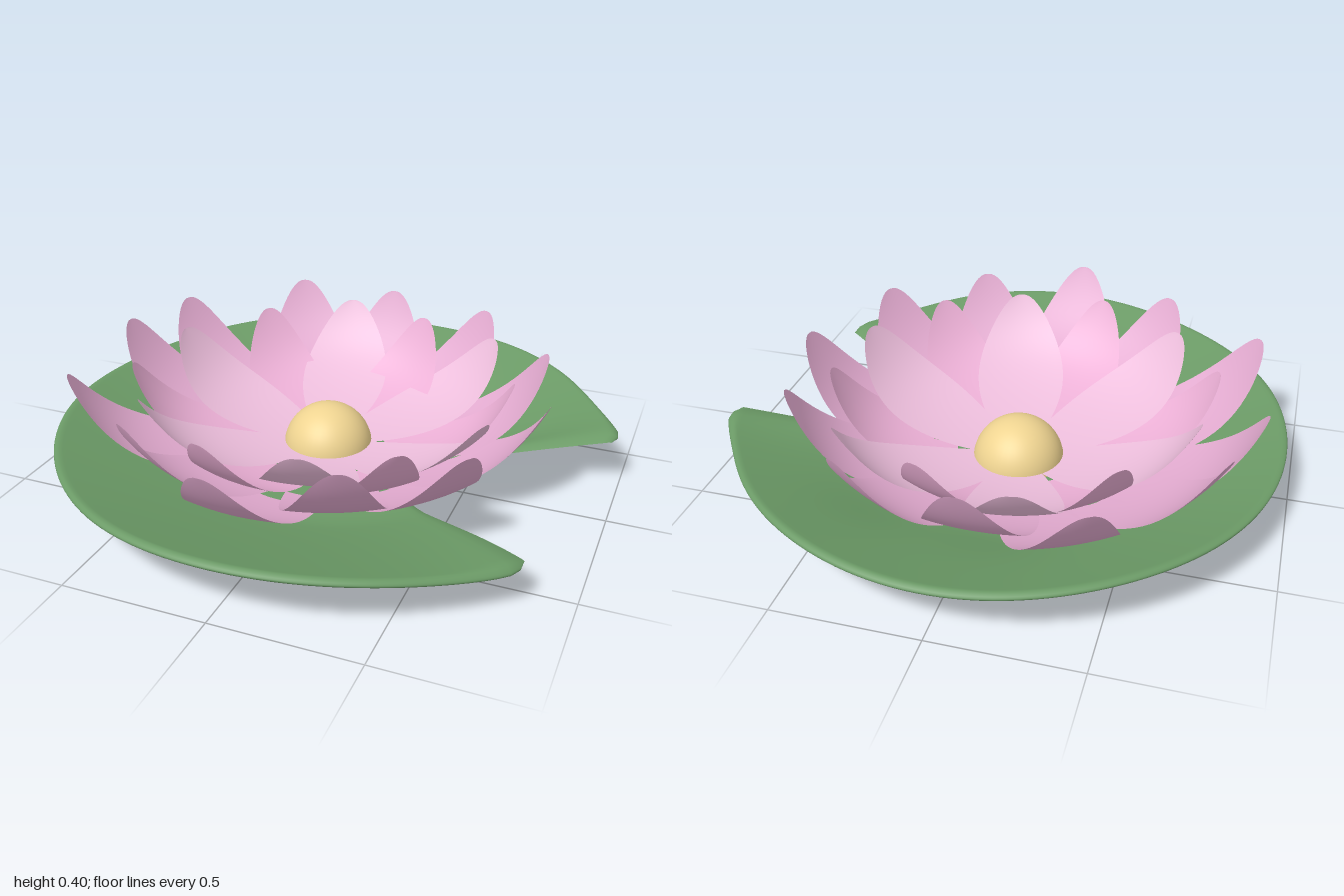
import * as THREE from 'three';

const mat = (color, side = THREE.FrontSide) => new THREE.MeshStandardMaterial({ color, side });
const clamp01 = (v) => Math.min(1, Math.max(0, v));
const rad = THREE.MathUtils.degToRad;
const bell = (d, width) => Math.exp(-((d / width) ** 2));

// Smooth surface from a rule fn(u, v) -> [x, y, z], u and v in 0..1
function surface(nu, nv, fn) {
  const pos = [], idx = [];
  for (let i = 0; i <= nu; i++)
    for (let j = 0; j <= nv; j++) pos.push(...fn(i / nu, j / nv));
  for (let i = 0; i < nu; i++)
    for (let j = 0; j < nv; j++) {
      const a = i * (nv + 1) + j, b = a + nv + 1;
      idx.push(a, b, a + 1, b, b + 1, a + 1);
    }
  const g = new THREE.BufferGeometry();
  g.setAttribute('position', new THREE.Float32BufferAttribute(pos, 3));
  g.setIndex(idx);
  g.computeVertexNormals();
  return g;
}

// Shallow wavy bowl with a wedge-shaped notch opening toward +x
function lilyPad() {
  const start = 33.4, end = 347, apexX = 0.07;
  const geo = surface(140, 64, (u, v) => {
    const deg = start + (end - start) * u, th = rad(deg);
    const edge = Math.min(deg - start, end - deg);
    // out along the top, round the rim, back along the underside
    const out = v <= 0.5;
    const s = Math.sin(clamp01((out ? v : 1 - v) * 2) * Math.PI / 2);
    const reach = s * (1 - 0.04 * bell(edge, 2));
    const bx = Math.cos(th) * 0.975 + 0.05 * bell(edge, 12);
    const x = apexX + (bx - apexX) * reach;
    const z = Math.sin(th) * reach;
    const r = Math.hypot(x, z);
    let y = 0.032 + 0.145 * clamp01((r - 0.48) / 0.5) ** 1.15;
    // two sagging hollows at the back
    y -= 0.03 * bell(Math.hypot(x + 0.12, z + 0.45), 0.2);
    y -= 0.03 * bell(Math.hypot(x - 0.3, z + 0.42), 0.2);
    y += 0.006 * Math.sin(5 * th) * s * s;
    // the back lip of the notch curls up, the front lip droops
    y += 0.035 * bell(end - deg, 9) * Math.sin(Math.PI * s);
    y -= 0.06 * bell(deg - start, 22) * s ** 4;
    const thick = 0.03 * Math.sqrt(clamp01(edge / 4)) * Math.sqrt(clamp01((1 - s) / 0.02));
    return [x, y + 0.015 + (out ? thick : -thick) / 2, z];
  });
  const pad = new THREE.Mesh(geo, mat(0x6b9a66));
  pad.name = 'lilyPad';
  return pad;
}

// Oval petal along +x: nearly flat at first, then sweeping steeply up to a round tip
function petalGeometry(reach, { width, base, tip, slope }) {
  return surface(14, 32, (u, v) => {
    const t = Math.sin(v * Math.PI / 2);
    const side = u * 2 - 1;
    const w = Math.sqrt(Math.max(0, Math.sin(Math.PI * t ** 1.5)));
    const rise = slope * t ** 2 + (1 - slope) * t ** 7;
    const y = base + (tip - base) * rise + 0.02 * side * side * w * t;
    return [reach * t, y, -side * w * width];
  });
}

export function createModel() {
  const model = new THREE.Group();
  model.add(lilyPad());

  const flower = new THREE.Group();
  flower.name = 'flower';
  flower.position.set(-0.045, 0, -0.07);
  model.add(flower);

  // Each ring lists [direction in degrees from +x toward +z, reach]
  const rings = [
    { name: 'outerPetal', color: 0xe3abd0, width: 0.18, base: 0.028, tip: 0.4, slope: 0.38,
      petals: [[-90, 0.74], [-119, 0.83], [-155, 0.84], [-176, 0.86], [149, 0.92], [120, 0.84],
        [92, 0.93], [66, 0.83], [38, 0.85], [6, 0.83], [-24, 0.8], [-58, 0.78]] },
    { name: 'middlePetal', color: 0xecb0d6, width: 0.15, base: 0.045, tip: 0.37, slope: 0.42,
      petals: [[-72, 0.6], [-8, 0.67], [50, 0.7], [103, 0.72], [160, 0.71], [-135, 0.62]] },
    { name: 'innerPetal', color: 0xeebfdd, width: 0.165, base: 0.07, tip: 0.37, slope: 0.5,
      petals: [[-103, 0.67], [-43, 0.68], [21, 0.69], [76, 0.69], [134, 0.7], [-169, 0.66]] },
  ];
  for (const ring of rings) {
    const material = mat(ring.color, THREE.DoubleSide);
    for (const [deg, reach] of ring.petals) {
      const petal = new THREE.Mesh(petalGeometry(reach, ring), material);
      petal.name = ring.name;
      petal.rotation.y = -rad(deg);
      flower.add(petal);
    }
  }

  // Domed yellow heart of the flower
  const heart = new THREE.Mesh(
    new THREE.SphereGeometry(0.163, 40, 16, 0, Math.PI * 2, 0, Math.PI / 2), mat(0xefd491, THREE.DoubleSide));
  heart.name = 'flowerHeart';
  heart.position.y = 0.052;
  flower.add(heart);

  return model;
}
